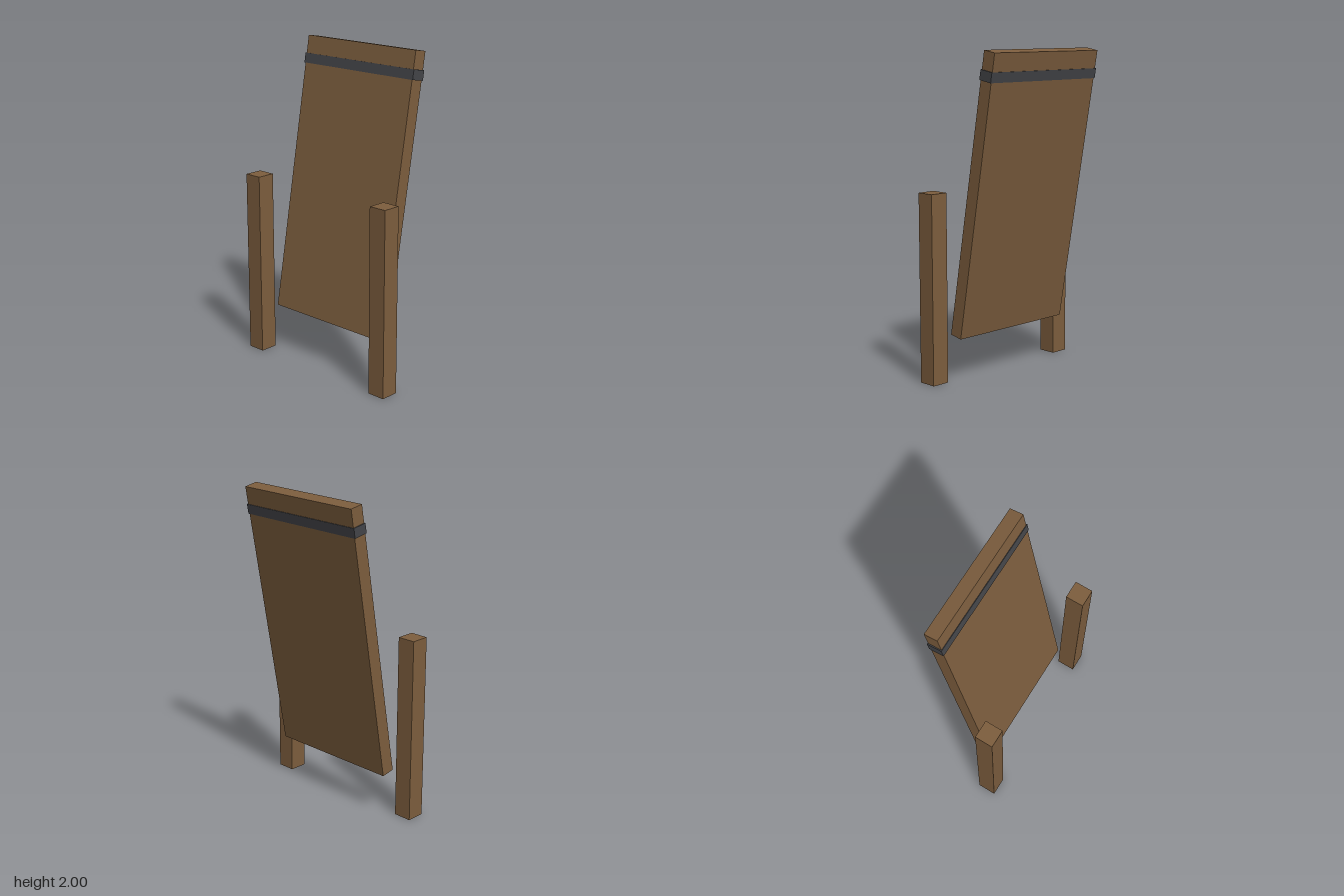
import * as THREE from 'three';

export function createModel() {
  const wood = new THREE.MeshStandardMaterial({ name: 'brown wood', color: 0x7d5e3e });
  const iron = new THREE.MeshStandardMaterial({ name: 'dark iron', color: 0x444549 });
  const model = new THREE.Group();
  model.name = 'leaningBoardWithPosts';

  const addBox = (parent, name, size, position, material) => {
    const mesh = new THREE.Mesh(new THREE.BoxGeometry(...size), material);
    mesh.name = name;
    mesh.position.set(...position);
    parent.add(mesh);
  };

  // Board leaning back ten degrees, with an iron band near its top
  const leaningBoard = new THREE.Group();
  leaningBoard.name = 'leaningBoard';
  leaningBoard.position.set(0, 1.139, -0.058);
  leaningBoard.rotation.x = THREE.MathUtils.degToRad(-10);
  addBox(leaningBoard, 'board', [0.868, 1.733, 0.087], [0, 0, 0], wood);
  addBox(leaningBoard, 'band', [0.882, 0.061, 0.094], [0, 0.725, 0], iron);
  model.add(leaningBoard);

  // Square posts either side of the board
  for (const [side, name] of [[1, 'leftPost'], [-1, 'rightPost']]) {
    addBox(model, name, [0.116, 1.16, 0.116], [side * 0.52, 0.58, 0.192], wood);
  }

  return model;
}
